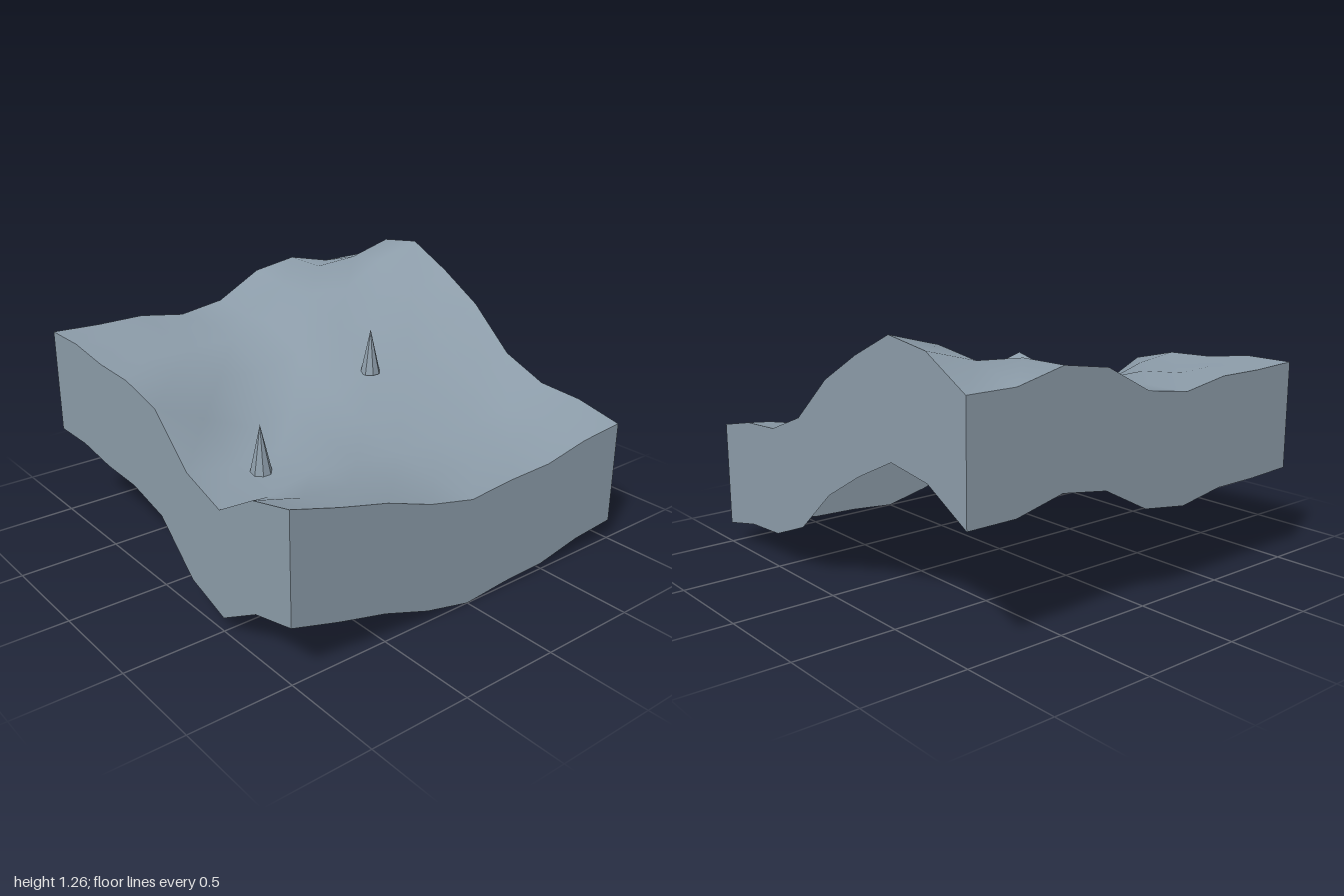
import * as THREE from 'three';

// Terrain heights, rows from back (z = -1) to front (z = 1), columns from x = -1 to 1
const HEIGHTS = [
  [1.005, 0.995, 0.995, 0.955, 0.99, 1.12, 1.157, 1.10, 1.10],
  [1.005, 0.985, 0.975, 0.95, 0.97, 1.09, 1.155, 1.17, 1.235],
  [0.97, 0.945, 0.95, 0.945, 0.98, 1.09, 1.08, 1.205, 1.27],
  [0.96, 0.93, 0.86, 0.84, 0.88, 0.96, 1.0, 1.07, 1.155],
  [0.90, 0.79, 0.68, 0.70, 0.75, 0.80, 0.84, 0.91, 1.015],
  [0.68, 0.64, 0.66, 0.66, 0.655, 0.665, 0.68, 0.72, 0.80],
  [0.602, 0.585, 0.64, 0.61, 0.585, 0.585, 0.60, 0.63, 0.705],
  [0.745, 0.68, 0.655, 0.595, 0.555, 0.55, 0.56, 0.625, 0.69],
  [0.805, 0.735, 0.675, 0.59, 0.535, 0.557, 0.565, 0.615, 0.637],
];
const N = 8;
const STEP = 0.25;
const SKIRT = 0.53;

export function createModel() {
  const model = new THREE.Group();
  const stone = new THREE.MeshStandardMaterial({ color: 0x8c9ca9, side: THREE.DoubleSide });
  stone.name = 'slate grey';
  const add = (name, geometry) => {
    const mesh = new THREE.Mesh(geometry, stone);
    mesh.name = name;
    model.add(mesh);
    return mesh;
  };

  // Rolling ground: a plane lifted to the height grid
  const ground = new THREE.PlaneGeometry(2, 2, N, N).rotateX(-Math.PI / 2);
  const pos = ground.attributes.position;
  for (let i = 0; i < pos.count; i++) {
    pos.setY(i, HEIGHTS[Math.floor(i / (N + 1))][i % (N + 1)]);
  }
  ground.computeVertexNormals();
  add('ground', ground);

  // Skirt walls hanging a constant depth below each border, open underneath
  const wall = (name, cell) => {
    const points = [];
    const index = [];
    for (let i = 0; i <= N; i++) {
      const [row, col] = cell(i);
      const x = -1 + col * STEP;
      const z = -1 + row * STEP;
      const y = HEIGHTS[row][col];
      points.push(x, y, z, x, Math.max(0, y - SKIRT), z);
      if (i < N) {
        const a = 2 * i;
        index.push(a, a + 1, a + 2, a + 1, a + 3, a + 2);
      }
    }
    const geometry = new THREE.BufferGeometry();
    geometry.setAttribute('position', new THREE.Float32BufferAttribute(points, 3));
    geometry.setIndex(index);
    geometry.computeVertexNormals();
    add(name, geometry);
  };
  wall('frontWall', (i) => [N, i]);
  wall('rightWall', (i) => [N - i, N]);
  wall('backWall', (i) => [0, N - i]);
  wall('leftWall', (i) => [i, 0]);

  // Small pointed spikes standing on the ground
  for (const [x, y, z] of [[0.25, 0.79, 0], [-0.67, 0.62, 0.335]]) {
    const cone = new THREE.ConeGeometry(0.052, 0.23, 8).rotateY(Math.PI / 8).toNonIndexed();
    cone.computeVertexNormals();
    add('spike', cone).position.set(x, y + 0.115, z);
  }
  return model;
}
